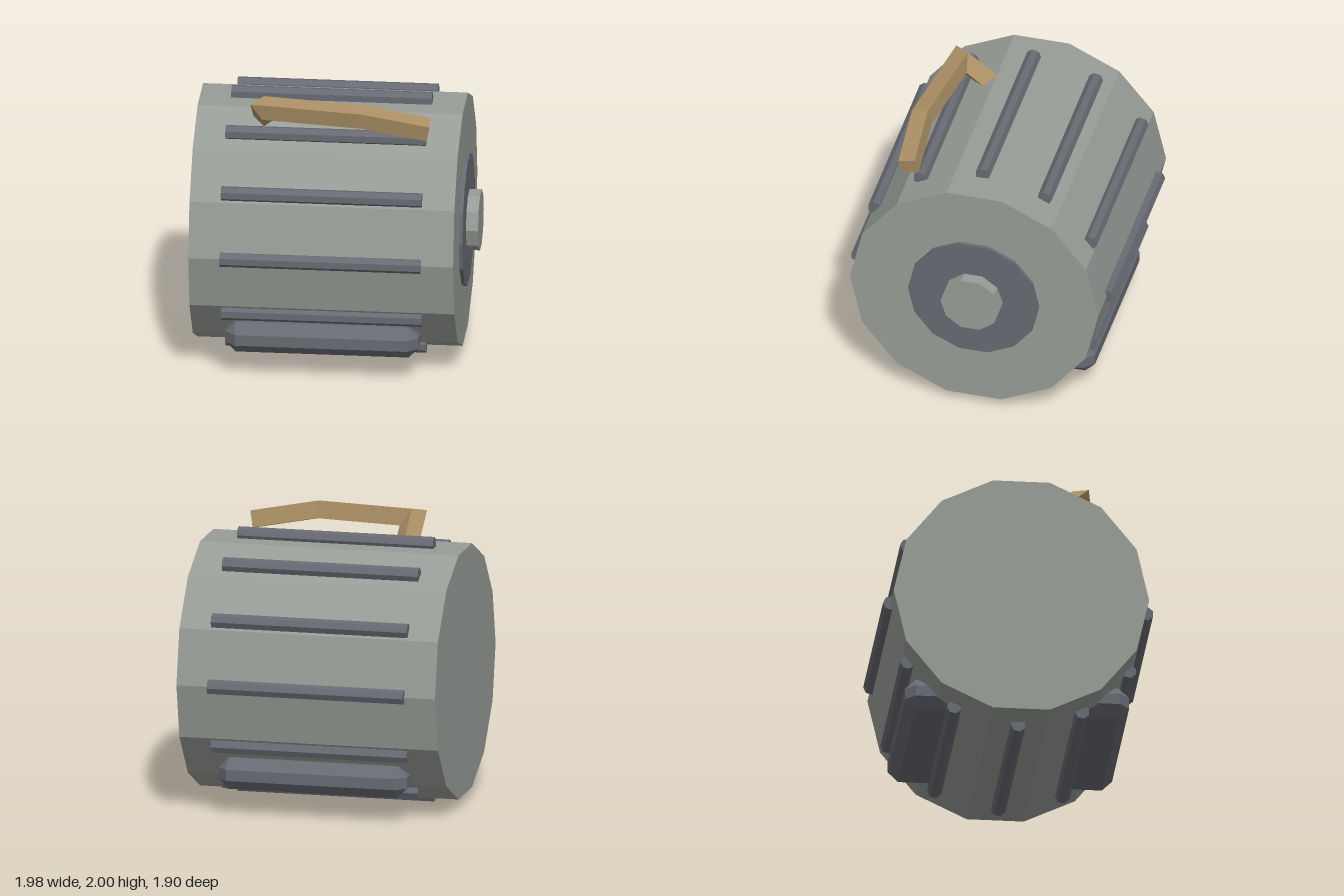
import * as THREE from 'three';
import { ConvexGeometry } from 'three/addons/geometries/ConvexGeometry.js';

const CY = 0.953; // height of the drum axis

export function createModel() {
  const model = new THREE.Group();
  model.name = 'ribbedDrum';

  const mat = (name, color) => {
    const m = new THREE.MeshStandardMaterial({ color, flatShading: true });
    m.name = name;
    return m;
  };
  const paleMetal = mat('paleMetal', 0x979c96);
  const darkMetal = mat('darkMetal', 0x676a72);
  const wood = mat('wood', 0xab8f64);

  const add = (name, geometry, material, x = 0, y = 0, z = 0) => {
    const mesh = new THREE.Mesh(geometry, material);
    mesh.name = name;
    mesh.position.set(x, y, z);
    model.add(mesh);
    return mesh;
  };

  // Prism lying along x between x0 and x1, first corner towards +z (or -z)
  const prism = (name, material, r, sides, x0, x1, y, z, start = 0) => {
    const g = new THREE.CylinderGeometry(r, r, x1 - x0, sides, 1, false, start);
    g.rotateZ(-Math.PI / 2);
    return add(name, g, material, (x0 + x1) / 2, y, z);
  };

  // Drum, end plate and hub
  prism('drum', paleMetal, 0.9, 14, -0.99, 0.875, CY, 0);
  prism('endPlate', darkMetal, 0.473, 14, 0.865, 0.9, CY, 0);
  prism('hub', paleMetal, 0.215, 10, 0.89, 0.985, CY, 0);

  // Twelve ribs around the drum
  for (let i = 0; i < 12; i++) {
    const a = (i / 12) * Math.PI * 2;
    prism('rib', darkMetal, 0.053, 7, -0.768, 0.645,
      CY + 0.9 * Math.cos(a), 0.9 * Math.sin(a), Math.PI);
  }

  // Chamfered skids low on both sides
  const chamferedBox = (hx, hy, hz, c) => {
    const points = [];
    for (const sx of [-1, 1]) for (const sy of [-1, 1]) for (const sz of [-1, 1]) {
      points.push(
        new THREE.Vector3(sx * hx, sy * (hy - c), sz * (hz - c)),
        new THREE.Vector3(sx * (hx - c), sy * hy, sz * (hz - c)),
        new THREE.Vector3(sx * (hx - c), sy * (hy - c), sz * hz));
    }
    return new ConvexGeometry(points);
  };
  for (const side of [-1, 1]) {
    add('skid', chamferedBox(0.68, 0.112, 0.24, 0.072), darkMetal, -0.065, 0.297, side * 0.55);
  }

  // Bent handle: a square bar swept along a path with mitred corners
  add('handle', mitredBar([
    new THREE.Vector3(-0.505, 1.73, 0.195),
    new THREE.Vector3(-0.505, 1.928, 0.455),
    new THREE.Vector3(0.205, 1.928, 0.555),
    new THREE.Vector3(0.668, 1.84, 0.53),
  ], 0.12, 0.2), wood);

  return model;
}

// The square is set up on the second stretch of the path, then carried both ways
function mitredBar(path, size, tilt) {
  const last = path.length - 1;
  const dirs = path.slice(1).map((p, i) => p.clone().sub(path[i]).normalize());
  const normals = path.map((_, i) => (i === 0 ? dirs[0].clone() : i === last ? dirs[last - 1].clone()
    : dirs[i - 1].clone().add(dirs[i]).normalize()));
  const slide = (point, dir, i) => {
    const d = path[i].clone().sub(point).dot(normals[i]) / dir.dot(normals[i]);
    return point.clone().addScaledVector(dir, d);
  };

  const t = dirs[1];
  const up = new THREE.Vector3(0, 1, 0).applyAxisAngle(t, tilt);
  const across = new THREE.Vector3().crossVectors(t, up);
  const rings = [];
  rings[1] = [[1, 1], [-1, 1], [-1, -1], [1, -1]].map(([a, b]) => slide(
    path[1].clone().addScaledVector(across, a * size / 2).addScaledVector(up, b * size / 2), t, 1));
  rings[0] = rings[1].map((p) => slide(p, dirs[0], 0));
  for (let i = 2; i <= last; i++) rings[i] = rings[i - 1].map((p) => slide(p, dirs[i - 1], i));

  const pos = [];
  const quad = (a, b, c, d) => [a, b, c, a, c, d].forEach((p) => pos.push(p.x, p.y, p.z));
  for (let i = 0; i < last; i++) {
    for (let k = 0; k < 4; k++) {
      const n = (k + 1) % 4;
      // across, up and the path direction: corners run clockwise seen along the path
      quad(rings[i][k], rings[i + 1][k], rings[i + 1][n], rings[i][n]);
    }
  }
  const [s, e] = [rings[0], rings[last]];
  quad(s[0], s[1], s[2], s[3]);
  quad(e[3], e[2], e[1], e[0]);

  const g = new THREE.BufferGeometry();
  g.setAttribute('position', new THREE.Float32BufferAttribute(pos, 3));
  g.computeVertexNormals();
  return g;
}
